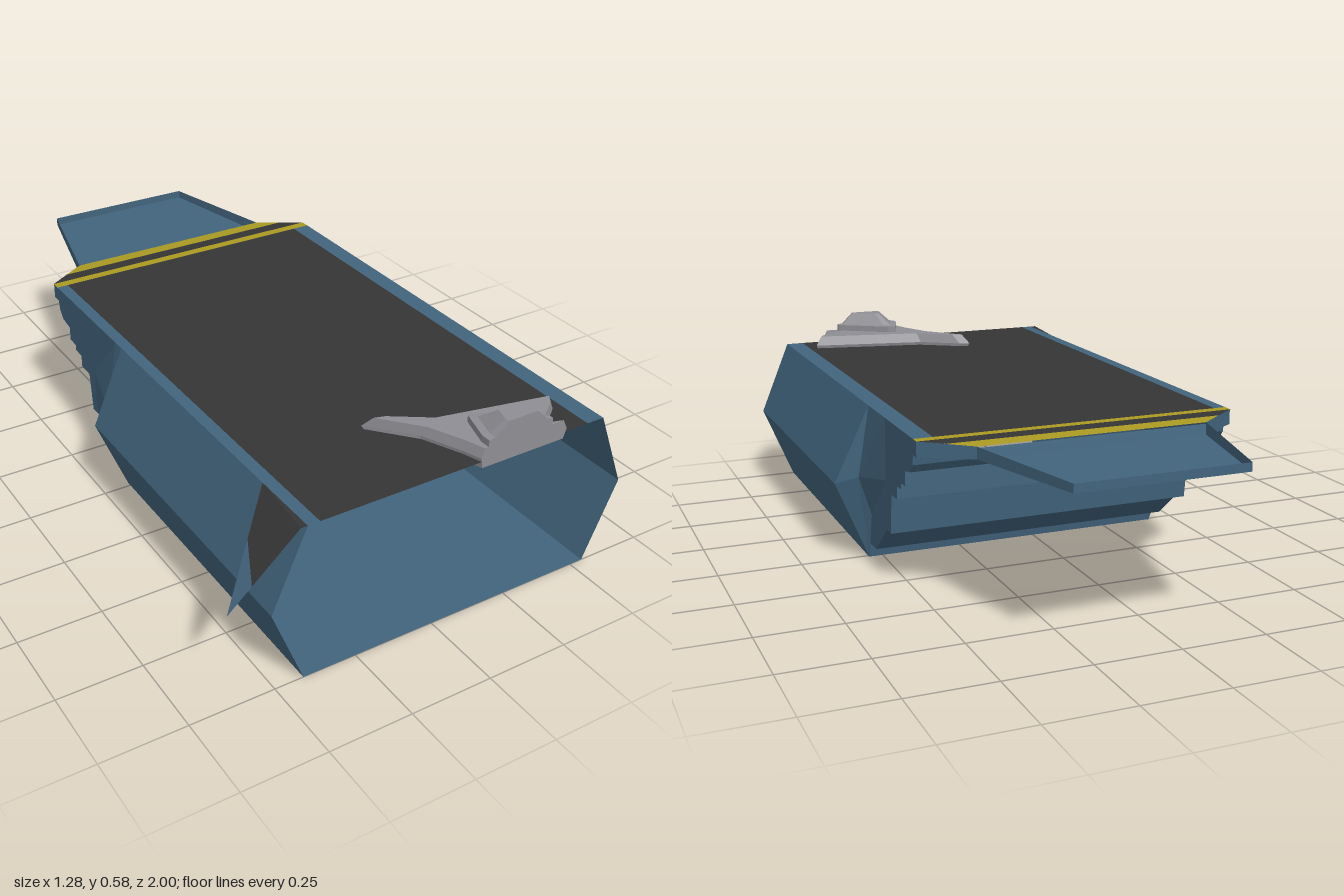
import * as THREE from 'three';

const mat = (name, color) => {
  const m = new THREE.MeshStandardMaterial({ color, side: THREE.DoubleSide });
  m.name = name;
  return m;
};

export function createModel() {
  const blue = mat('hull blue', 0x42647d);
  const dark = mat('deck charcoal', 0x353535);
  const yellow = mat('stripe yellow', 0xaa9a22);
  const grey = mat('craft grey', 0x8f8e94);
  const model = new THREE.Group();
  const L = -0.413, R = 0.543, T = 0.485;

  // Flat-faced mesh from triangles and quads
  function surface(name, material, faces) {
    const pos = [];
    for (const f of faces)
      for (let i = 1; i < f.length - 1; i++) pos.push(...f[0], ...f[i], ...f[i + 1]);
    const g = new THREE.BufferGeometry();
    g.setAttribute('position', new THREE.Float32BufferAttribute(pos, 3));
    g.computeVertexNormals();
    const mesh = new THREE.Mesh(g, material);
    mesh.name = name;
    model.add(mesh);
    return mesh;
  }

  // Upward-facing plate between two z lines, each with its own x range
  const plate = (z0, a0, b0, z1, a1, b1, y0 = T, y1 = y0) =>
    [[a0, y0, z0], [b0, y0, z0], [b1, y1, z1], [a1, y1, z1]];

  // Floor and stepped stern, swept across the width (z, y)
  const steps = [[1, 0], [-0.01, 0], [-0.02, 0.05], [-0.09, 0.05], [-0.21, 0.148],
    [-0.25, 0.148], [-0.265, 0.27], [-0.32, 0.272], [-0.32, 0.31], [-0.36, 0.312],
    [-0.36, 0.33], [-0.4, 0.332], [-0.4, 0.375], [-0.45, 0.385], [-0.47, 0.41],
    [-0.475, 0.44], [-0.505, 0.44]];
  const floor = [];
  for (let i = 0; i < steps.length - 1; i++) {
    const [z0, y0] = steps[i], [z1, y1] = steps[i + 1];
    floor.push([[L, y0, z0], [L, y1, z1], [R, y1, z1], [R, y0, z0]]);
  }
  surface('steppedHullBottom', blue, floor);

  // Flat stern side panels
  const outline = [...steps.slice(1), [-0.505, T], [-0.015, T]].map(([z, y]) => new THREE.Vector2(z, y));
  const panelTris = THREE.ShapeUtils.triangulateShape(outline, []);
  for (const [name, x, s] of [['rightSternPanel', L, -1], ['leftSternPanel', R, 1]]) {
    surface(name, blue, panelTris.map((t) => {
      const f = t.map((i) => [x, outline[i].y, outline[i].x]);
      return s > 0 ? f.reverse() : f;
    }));
  }

  // Bulging sides: z, outward offset, middle height, bottom height
  const bulge = [[1, 0.1, 0.245, 0], [-0.015, 0.1, 0.245, 0],
    [-0.055, 0.037, 0.27, 0.148], [-0.22, 0.002, 0.3, 0.16]];
  for (const [name, x, s] of [['rightBulge', L, -1], ['leftBulge', R, 1]]) {
    const faces = [];
    for (let i = 0; i < bulge.length - 1; i++) {
      const ring = ([z, o, m, b]) => [[x, b, z], [x + s * o, m, z], [x, T, z]];
      const p = ring(bulge[i]), q = ring(bulge[i + 1]);
      for (let k = 0; k < 2; k++) {
        const f = [p[k], q[k], q[k + 1], p[k + 1]];
        faces.push(s > 0 ? f : f.reverse());
      }
    }
    surface(name, blue, faces);
  }

  // Deck with borders and stripes
  surface('deck', dark, [plate(1, -0.377, 0.487, -0.478, -0.377, 0.487),
    plate(-0.508, L, R, -0.553, -0.348, 0.475, T, 0.483)]);
  surface('deckBorders', blue, [plate(1, L, -0.377, -0.478, L, -0.377),
    plate(1, 0.487, R, -0.478, 0.487, R)]);
  surface('deckStripes', yellow, [plate(-0.478, L, R, -0.508, L, R),
    plate(-0.553, -0.348, 0.475, -0.6, -0.28, 0.407, 0.483, 0.48)]);

  // Tapered neck and rimmed tail tray: z, right x, left x, bottom, top
  const tail = [[-0.505, L, R, 0.44, T], [-0.6, -0.28, 0.407, 0.445, 0.48],
    [-1, -0.185, 0.31, 0.452, 0.477]];
  const tray = [];
  for (let i = 0; i < 2; i++) {
    const [z0, a0, b0, l0, h0] = tail[i], [z1, a1, b1, l1, h1] = tail[i + 1];
    tray.push([[a0, l0, z0], [a1, l1, z1], [b1, l1, z1], [b0, l0, z0]],
      [[a0, l0, z0], [a0, h0, z0], [a1, h1, z1], [a1, l1, z1]],
      [[b0, l0, z0], [b1, l1, z1], [b1, h1, z1], [b0, h0, z0]]);
  }
  tray.push([[-0.185, 0.452, -1], [-0.185, 0.477, -1], [0.31, 0.477, -1], [0.31, 0.452, -1]]);
  surface('tailTray', blue, tray);

  // Drooping side flap with a blue tip
  const a = [L, T, 0.79], b = [L - 0.02, T, 1], tip = [-0.64, 0.3, 1];
  const mix = (p, q, t) => p.map((v, i) => v + (q[i] - v) * t);
  const e = mix(a, tip, 0.43), f = mix(b, tip, 0.66);
  surface('sideFlap', dark, [[a, e, f, b], [[L, T, 1], a, b]]);
  surface('sideFlapTip', blue, [[e, tip, f]]);

  // Parked craft: stacked outlines scaled toward a centre (x, z)
  function stack(name, pts, cx, cz, layers) {
    const rings = layers.map(([y, s]) => pts.map(([x, z]) => [cx + (x - cx) * s, y, cz + (z - cz) * s]));
    const faces = [];
    for (let k = 0; k < rings.length - 1; k++)
      pts.forEach((_, i) => {
        const j = (i + 1) % pts.length;
        faces.push([rings[k][i], rings[k + 1][i], rings[k + 1][j], rings[k][j]]);
      });
    const tris = THREE.ShapeUtils.triangulateShape(pts.map((p) => new THREE.Vector2(...p)), []);
    for (const t of tris) {
      faces.push(t.map((i) => rings[0][i]));
      faces.push(t.map((i) => rings[rings.length - 1][i]).reverse());
    }
    surface(name, grey, faces);
  }
  stack('craftBody', [[-0.055, 0.71], [-0.02, 0.72], [0.1, 0.8], [0.465, 0.875], [0.445, 0.905],
    [0.345, 0.98], [0.41, 1], [0.12, 1], [0.1, 0.94], [0.05, 0.83]], 0.22, 1,
  [[0.465, 0.95], [0.495, 1], [0.525, 0.92]]);
  stack('craftTower', [[0.17, 0.875], [0.2, 0.88], [0.355, 0.985], [0.355, 1], [0.14, 1], [0.14, 0.97]],
    0.25, 1, [[0.52, 1], [0.545, 1], [0.548, 0.82], [0.585, 0.46]]);

  return model;
}
